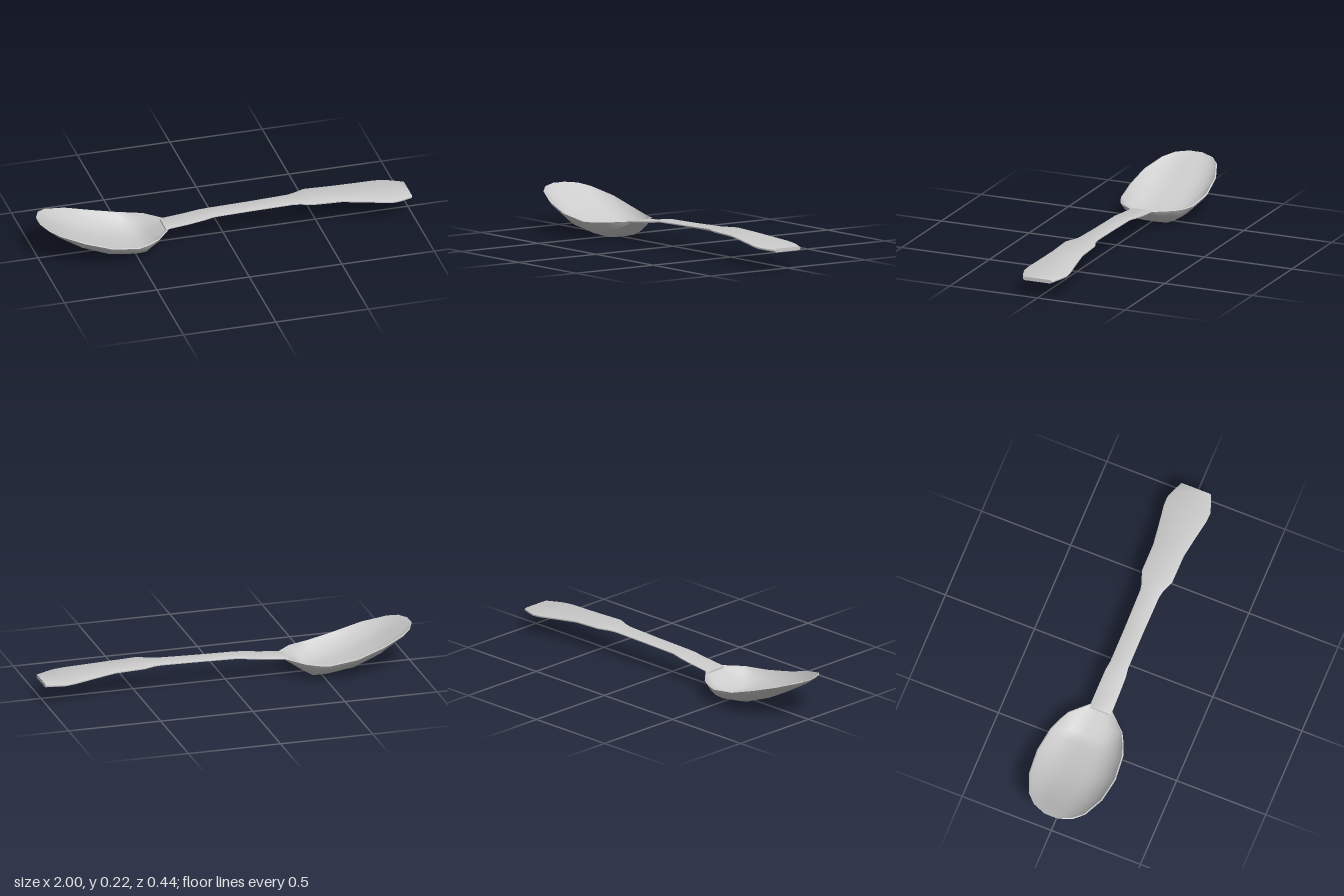
import * as THREE from 'three';
import { toCreasedNormals } from 'three/addons/utils/BufferGeometryUtils.js';

// Skins closed sections: each runs along the underside (-z to +z), then back along the top.
function loft(sections) {
  const n = sections[0].length, last = (sections.length - 1) * n;
  const index = [];
  for (let i = 0; i < sections.length - 1; i++) {
    for (let j = 0; j < n; j++) {
      const a = i * n + j, c = i * n + (j + 1) % n;
      index.push(a, a + n, c, c, a + n, c + n);
    }
  }
  // end caps, underside stitched to top
  for (let j = 0; j < n / 2 - 1; j++) {
    const p = j, q = j + 1, r = n - 1 - j, s = n - 2 - j;
    index.push(p, q, r, r, q, s);
    index.push(last + p, last + r, last + q, last + r, last + s, last + q);
  }
  const geometry = new THREE.BufferGeometry();
  geometry.setAttribute('position', new THREE.Float32BufferAttribute(sections.flat(2), 3));
  geometry.setIndex(index);
  return toCreasedNormals(geometry, 0.9);
}

// Bowl stations: x, half width, rim height, underside height
const BOWL = [
  [-1, 0.04, 0.223, 0.215],
  [-0.97, 0.11, 0.216, 0.195],
  [-0.92, 0.157, 0.2, 0.16],
  [-0.8, 0.205, 0.163, 0.09],
  [-0.655, 0.221, 0.118, 0.033],
  [-0.51, 0.205, 0.092, 0.008],
  [-0.45, 0.183, 0.092, 0.001],
  [-0.39, 0.152, 0.096, 0.037],
  [-0.305, 0.06, 0.103, 0.092],
];
// Half of the bowl's cross-section: fraction of width, fraction of depth
const HALF = [[1, 0], [0.93, 0.27], [0.82, 0.53], [0.67, 0.8], [0.46, 0.97], [0.23, 1]];
const CUP = [
  ...HALF.map(([u, d]) => [-u, d]),
  [0, 1],
  ...HALF.map(([u, d]) => [u, d]).reverse(),
];

function bowlSection([x, w, rim, bottom]) {
  const depth = rim - bottom;
  const innerDepth = Math.max(0.001, depth - 0.011);
  const outer = CUP.map(([u, d]) => [x, rim - 0.003 - d * (depth - 0.003), u * w]);
  const inner = CUP.map(([u, d]) => [x, rim - d * innerDepth, u * (w - 0.007)]).reverse();
  return [...outer, ...inner];
}

// Handle stations: x, half width, top height, underside height
const HANDLE = [
  [-0.325, 0.058, 0.101, 0.091],
  [-0.3, 0.06, 0.105, 0.095],
  [-0.2, 0.059, 0.115, 0.104],
  [-0.11, 0.057, 0.127, 0.115],
  [-0.06, 0.05, 0.133, 0.121],
  [0.15, 0.05, 0.137, 0.126],
  [0.36, 0.053, 0.143, 0.13],
  [0.4, 0.061, 0.145, 0.131],
  [0.46, 0.085, 0.146, 0.131],
  [0.62, 0.086, 0.14, 0.125],
  [0.75, 0.104, 0.128, 0.112],
  [0.85, 0.12, 0.118, 0.102],
  [0.9, 0.121, 0.113, 0.097],
  [0.94, 0.108, 0.111, 0.094],
  [1, 0.083, 0.108, 0.089],
];

// Flat bar section with bevelled edges
function handleSection([x, w, top, bottom]) {
  const b = (top - bottom) * 0.3, e = w - 0.01;
  return [
    [x, bottom + b, -w], [x, bottom, -e], [x, bottom, e], [x, bottom + b, w],
    [x, top - b, w], [x, top, e], [x, top, -e], [x, top - b, -w],
  ];
}

export function createModel() {
  const material = new THREE.MeshStandardMaterial({ color: 0xcccccc });
  const spoon = new THREE.Group();
  spoon.name = 'spoon';

  const bowl = new THREE.Mesh(loft(BOWL.map(bowlSection)), material);
  bowl.name = 'bowl';

  const handle = new THREE.Mesh(loft(HANDLE.map(handleSection)), material);
  handle.name = 'handle';

  spoon.add(bowl, handle);
  return spoon;
}
